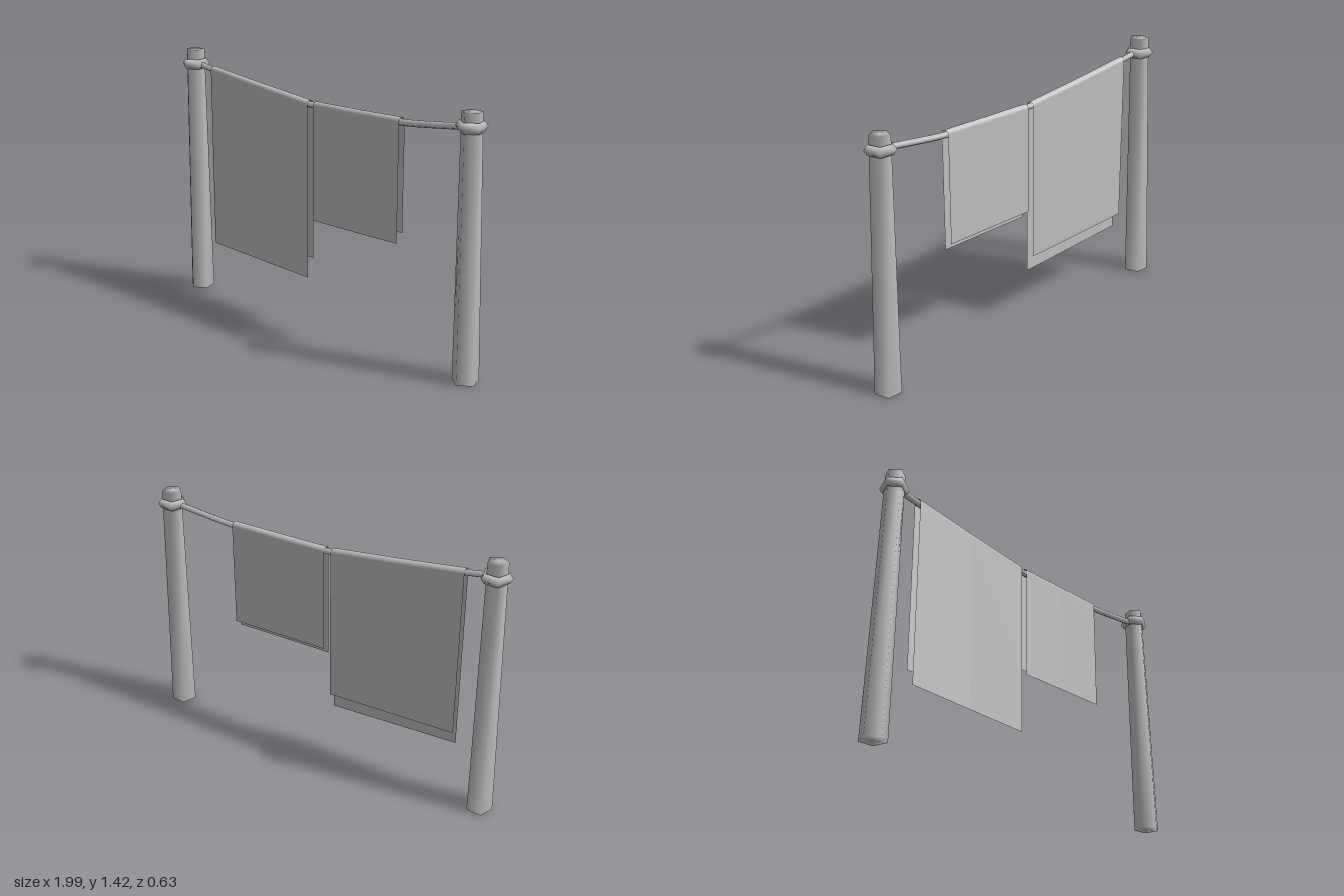
import * as THREE from 'three';
import { mergeVertices } from 'three/addons/utils/BufferGeometryUtils.js';

const gray = new THREE.MeshStandardMaterial({ color: 0xc0c0c0 });
gray.name = 'plain gray';
const grayCloth = new THREE.MeshStandardMaterial({ color: 0xc0c0c0, side: THREE.DoubleSide });
grayCloth.name = 'plain gray cloth';

const V = (x, y, z) => new THREE.Vector3(x, y, z);

// Weld all corners so the shading runs smoothly over every edge
function smooth(geometry) {
  geometry.deleteAttribute('normal');
  geometry.deleteAttribute('uv');
  const welded = mergeVertices(geometry, 1e-4);
  welded.computeVertexNormals();
  return welded;
}

function add(parent, name, geometry, material = gray) {
  const mesh = new THREE.Mesh(geometry, material);
  mesh.name = name;
  parent.add(mesh);
  return mesh;
}

// Five-sided tapered post leaning from base to top, with a faceted rope ring
function makePost(name, base, top, ringY) {
  const post = new THREE.Group();
  post.name = name;
  const h = top.y;
  const shaft = new THREE.CylinderGeometry(0.053, 0.07, h, 5, 1, false, -Math.PI / 2);
  shaft.translate(0, h / 2, 0);
  const p = shaft.attributes.position;
  for (let i = 0; i < p.count; i++) {
    const t = p.getY(i) / h;
    p.setX(i, p.getX(i) + base.x + (top.x - base.x) * t);
    p.setZ(i, p.getZ(i) + base.z + (top.z - base.z) * t);
  }
  add(post, 'shaft', smooth(shaft));

  const section = [[0.045, 0], [0.062, -0.027], [0.08, 0], [0.062, 0.027], [0.045, 0]];
  const ring = new THREE.LatheGeometry(section.map(([r, y]) => new THREE.Vector2(r, y)), 5, -Math.PI / 2);
  add(post, 'ring', smooth(ring)).position.set(top.x, ringY, top.z);
  return post;
}

// Sheet folded over the line: front panel, half-round fold, back panel
function makeCloth(name, spine, frontEnds, backEnds) {
  const across = V(-0.245, 0, 0.97);
  const r = 0.022, steps = 8, cols = spine.length, rows = steps + 3;
  const positions = [], index = [];
  spine.forEach((c, i) => {
    const t = i / (cols - 1);
    const put = (side, y) => positions.push(c.x + across.x * side, y, c.z + across.z * side);
    put(r, THREE.MathUtils.lerp(...frontEnds, t));
    for (let k = 0; k <= steps; k++) {
      const a = Math.PI * k / steps;
      put(r * Math.cos(a), c.y + r * Math.sin(a));
    }
    put(-r, THREE.MathUtils.lerp(...backEnds, t));
  });
  for (let i = 0; i < cols - 1; i++) {
    for (let k = 0; k < rows - 1; k++) {
      const a = i * rows + k, b = a + rows;
      index.push(a, b, a + 1, b, b + 1, a + 1);
    }
  }
  const geometry = new THREE.BufferGeometry();
  geometry.setAttribute('position', new THREE.Float32BufferAttribute(positions, 3));
  geometry.setIndex(index);
  geometry.computeVertexNormals();
  const mesh = new THREE.Mesh(geometry, grayCloth);
  mesh.name = name;
  return mesh;
}

export function createModel() {
  const group = new THREE.Group();
  group.name = 'clothesline';

  // Posts
  group.add(makePost('rightPost', V(-0.93, 0, -0.247), V(-0.912, 1.42, -0.22), 1.34));
  group.add(makePost('leftPost', V(0.935, 0, 0.247), V(0.912, 1.34, 0.235), 1.27));

  // Sagging line between the posts
  const line = new THREE.CatmullRomCurve3([
    V(-0.912, 1.345, -0.22), V(-0.765, 1.32, -0.182), V(-0.41, 1.272, -0.092),
    V(-0.04, 1.229, 0.002), V(0.25, 1.226, 0.075), V(0.52, 1.228, 0.141), V(0.912, 1.268, 0.236),
  ]);
  add(group, 'line', new THREE.TubeGeometry(line, 30, 0.017, 6));

  // Hanging cloths
  group.add(makeCloth('longCloth',
    [V(-0.765, 1.32, -0.182), V(-0.41, 1.273, -0.092), V(-0.057, 1.231, -0.002)],
    [0.315, 0.285], [0.405, 0.385]));
  group.add(makeCloth('shortCloth',
    [V(-0.022, 1.229, 0.006), V(0.25, 1.229, 0.075), V(0.522, 1.232, 0.1415)],
    [0.615, 0.615], [0.66, 0.66]));

  return group;
}
